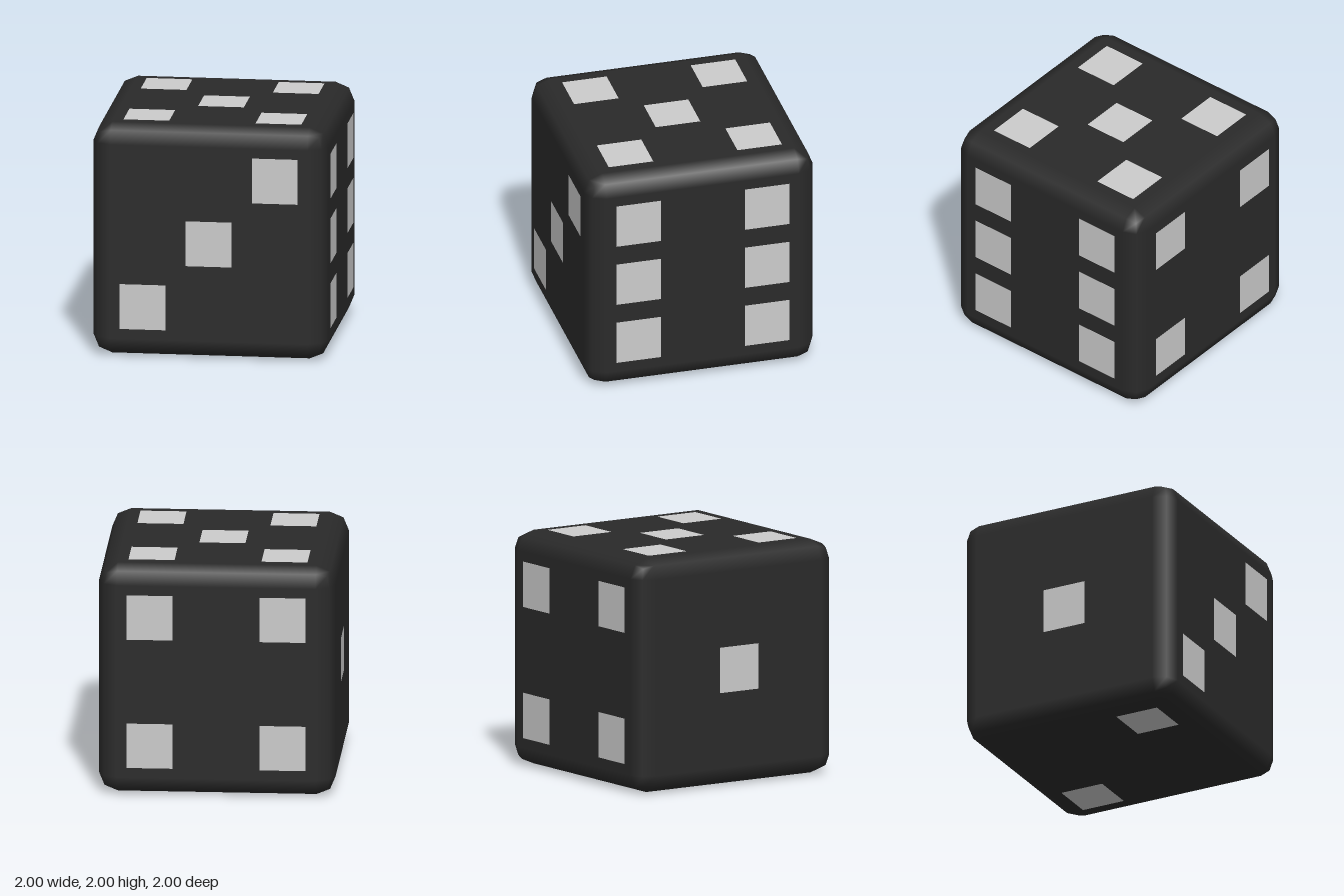
import * as THREE from 'three';
import { RoundedBoxGeometry } from 'three/addons/geometries/RoundedBoxGeometry.js';

const HALF = 1;       // half the cube edge
const LIFT = 0.003;   // pips sit just above the faces
const PIP = 0.388;    // pip edge length
const S = 0.56;       // pip spacing from the face centre

export function createModel() {
  const die = new THREE.Group();
  die.name = 'die';

  const bodyMaterial = new THREE.MeshStandardMaterial({ color: 0x2a2a2a });
  const pipMaterial = new THREE.MeshStandardMaterial({ color: 0xcccccc });

  // Cube with coarse two-step rounded edges and smooth normals
  const size = 2 * (HALF - LIFT);
  const body = new THREE.Mesh(new RoundedBoxGeometry(size, size, size, 1, 0.16), bodyMaterial);
  body.name = 'body';
  body.position.y = HALF;
  die.add(body);

  // Pip layouts in each face's own x (right) and y (up)
  const corners = [[-S, -S], [S, -S], [-S, S], [S, S]];
  const diagonal = [[-S, -S], [S, S]];
  const centre = [[0, 0]];
  const faces = [
    { name: 'frontPips', rotation: [0, 0, 0], spots: [...diagonal, ...centre] },
    { name: 'backPips', rotation: [0, Math.PI, 0], spots: corners },
    { name: 'leftPips', rotation: [0, Math.PI / 2, 0], spots: [...corners, [-S, 0], [S, 0]] },
    { name: 'rightPips', rotation: [0, -Math.PI / 2, 0], spots: centre },
    { name: 'topPips', rotation: [-Math.PI / 2, 0, 0], spots: [...corners, ...centre] },
    { name: 'bottomPips', rotation: [Math.PI / 2, 0, 0], spots: diagonal.map(([x, y]) => [x, -y]) },
  ];

  // Square pips, each face group turned about the cube's centre
  const pipGeometry = new THREE.PlaneGeometry(PIP, PIP);
  for (const { name, rotation, spots } of faces) {
    const face = new THREE.Group();
    face.name = name;
    face.position.y = HALF;
    face.rotation.set(...rotation);
    for (const [x, y] of spots) {
      const pip = new THREE.Mesh(pipGeometry, pipMaterial);
      pip.name = 'pip';
      pip.position.set(x, y, HALF);
      face.add(pip);
    }
    die.add(face);
  }
  return die;
}
